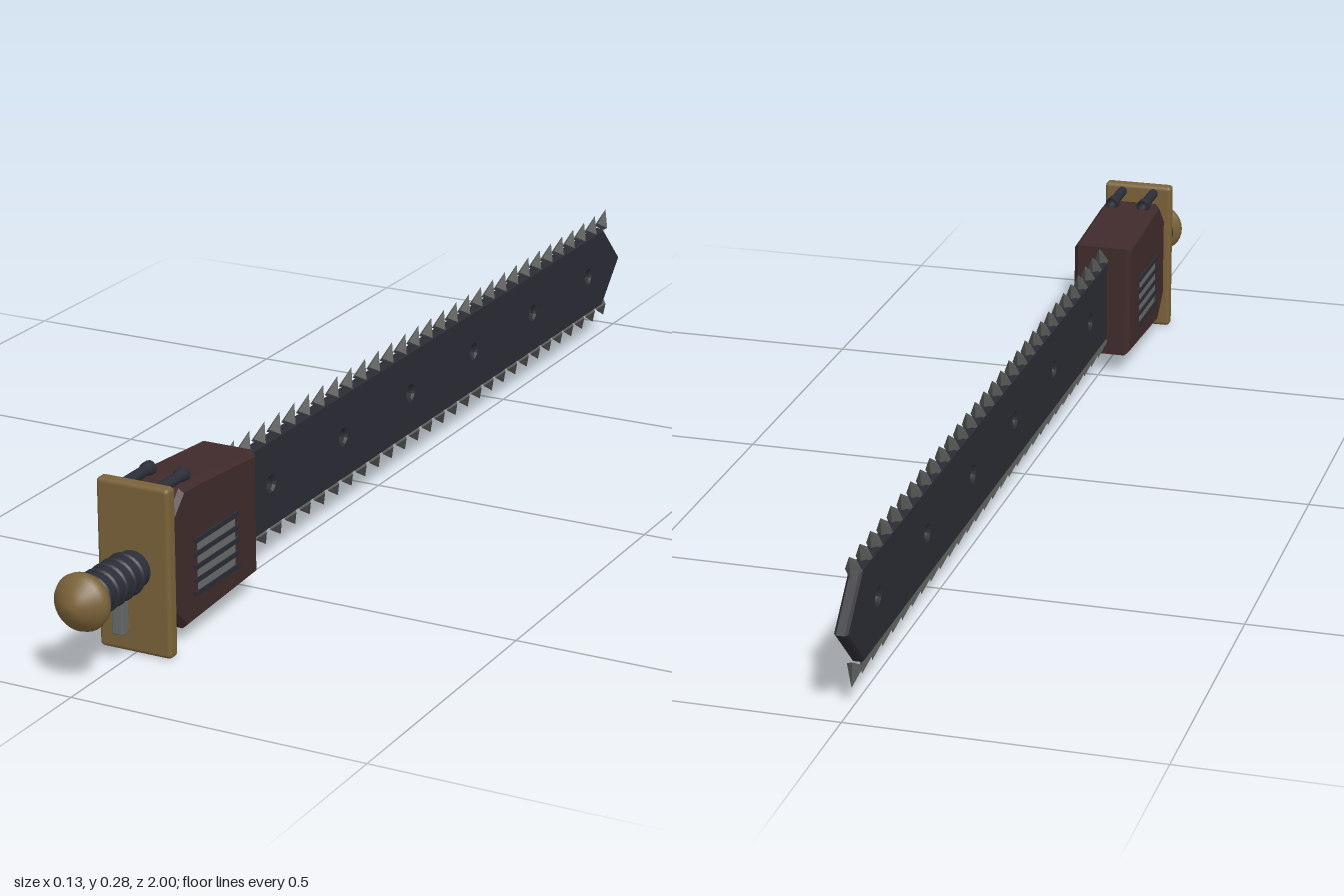
import * as THREE from 'three';
import { RoundedBoxGeometry } from 'three/addons/geometries/RoundedBoxGeometry.js';

const CY = 0.142; // height of the long axis

function material(name, color, flatShading = false) {
  const m = new THREE.MeshStandardMaterial({ color });
  m.name = name;
  m.flatShading = flatShading;
  return m;
}

// Side profile given as [z, y] points, extruded along x and centred on x = 0
function sidePlate(points, halfWidth, bevel, holes = []) {
  const shape = new THREE.Shape(points.map(([z, y]) => new THREE.Vector2(-z, y)));
  for (const [z, y, r] of holes) {
    shape.holes.push(new THREE.Path().absarc(-z, y, r, 0, Math.PI * 2, true));
  }
  const depth = 2 * (halfWidth - bevel);
  const geo = new THREE.ExtrudeGeometry(shape, {
    depth, bevelEnabled: true, bevelThickness: bevel, bevelSize: bevel,
    bevelOffset: -bevel, bevelSegments: 1, curveSegments: 8,
  });
  return geo.translate(0, 0, -depth / 2).rotateY(Math.PI / 2);
}

// Lathe whose axis runs along +z; points are [radius, z] with z rising
function latheZ(points, segments = 24) {
  return new THREE.LatheGeometry(points.map(([r, z]) => new THREE.Vector2(r, z)), segments)
    .rotateX(Math.PI / 2);
}

export function createModel() {
  const model = new THREE.Group();
  model.name = 'chainSword';

  const blade = material('darkBladeSteel', 0x2b2b34);
  const casing = material('darkRedCasing', 0x402b2b);
  const brass = material('agedBrass', 0x7a6239);
  const steel = material('greySteel', 0x686a6a);
  const toothSteel = material('toothSteel', 0x585a58, true);
  const gripMat = material('darkGrip', 0x2c2e37);

  const add = (name, geo, mat, x = 0, y = 0, z = 0, parent = model) => {
    const mesh = new THREE.Mesh(geo, mat);
    mesh.name = name;
    mesh.position.set(x, y, z);
    parent.add(mesh);
    return mesh;
  };

  // Blade bar with a pointed end and a row of through holes
  const holes = [0.4, 0.15, -0.1, -0.35, -0.6, -0.85].map((z) => [z, CY, 0.012]);
  add('blade', sidePlate([
    [0.56, CY - 0.077], [-0.92, CY - 0.077], [-0.998, CY],
    [-0.92, CY + 0.077], [0.56, CY + 0.077],
  ], 0.011, 0.004, holes), blade);

  // Teeth: four-sided spikes raked toward the tip, along both edges
  const tooth = new THREE.ConeGeometry(0.018, 0.036, 4)
    .translate(0, 0.018, 0).rotateX(-0.6).scale(0.75, 1, 1);
  for (const side of [1, -1]) {
    const row = new THREE.Group();
    row.name = side > 0 ? 'upperTeeth' : 'lowerTeeth';
    for (let i = 0; i < 30; i++) {
      const spike = add('tooth', tooth, toothSteel, 0, CY + side * 0.077, 0.52 - i * 0.05, row);
      if (side < 0) spike.rotation.z = Math.PI;
    }
    model.add(row);
  }

  // Motor housing
  add('housing', sidePlate([
    [0.792, 0.068], [0.745, 0.026], [0.518, 0.038], [0.518, 0.246],
    [0.715, 0.26], [0.75, 0.26], [0.792, 0.218],
  ], 0.053, 0.008), casing);

  // Side vents: steel panel behind dark ribs
  for (const side of [1, -1]) {
    const vent = new THREE.Group();
    vent.name = side > 0 ? 'leftVent' : 'rightVent';
    add('ventPanel', new THREE.BoxGeometry(0.006, 0.09, 0.115), steel, side * 0.052, 0.12, 0.653, vent);
    for (let i = 0; i < 5; i++) {
      add('ventRib', new THREE.BoxGeometry(0.008, 0.008, 0.138), blade,
        side * 0.053, 0.076 + i * 0.022, 0.653, vent);
    }
    model.add(vent);
  }

  // Twin exhaust pipes with flared, open mouths
  const pipe = latheZ([
    [0, 0.725], [0.007, 0.725], [0.008, 0.708], [0.012, 0.708],
    [0.012, 0.722], [0.009, 0.726], [0.009, 0.792],
  ], 12);
  for (const side of [1, -1]) {
    add(side > 0 ? 'leftExhaust' : 'rightExhaust', pipe, gripMat, side * 0.03, 0.267, 0);
  }

  // Guard plate
  add('guard', new RoundedBoxGeometry(0.128, 0.279, 0.024, 2, 0.007), brass, 0, 0.1415, 0.802);

  // Grip with raised rings
  add('grip', new THREE.CylinderGeometry(0.031, 0.031, 0.15, 24).rotateX(Math.PI / 2), gripMat, 0, CY, 0.88);
  const ring = new THREE.TorusGeometry(0.031, 0.005, 8, 24);
  for (let i = 0; i < 5; i++) add('gripRing', ring, gripMat, 0, CY, 0.838 + i * 0.024);

  // Pommel
  add('pommel', latheZ([
    [0, 0.942], [0.034, 0.942], [0.045, 0.952], [0.047, 0.962],
    [0.043, 0.972], [0.026, 0.988], [0.012, 0.996], [0, 0.998],
  ], 32), brass, 0, CY, 0);

  // Trigger under the grip
  add('trigger', new RoundedBoxGeometry(0.02, 0.07, 0.02, 1, 0.003), steel, 0, 0.086, 0.855);

  return model;
}
